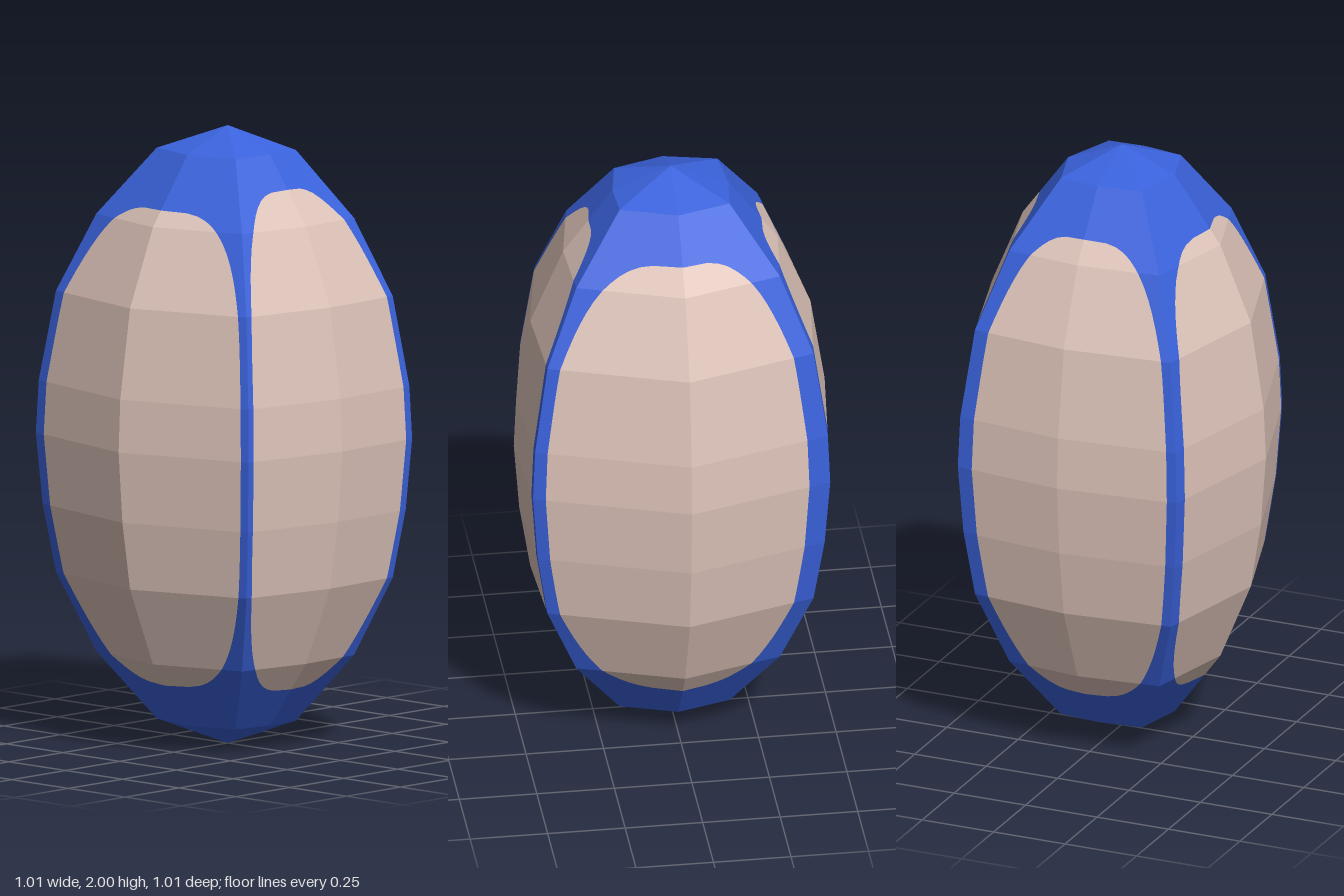
import * as THREE from 'three';

// Horizontal cross-section at mid height: side middles alternate with corners (x, z)
const SECTION = [
  [0, 0.505], [0.44, 0.365], [0.505, 0], [0.49, -0.34],
  [0, -0.505], [-0.465, -0.365], [-0.505, 0], [-0.465, 0.4],
];
// Height and scale of each ring of the faceted body
const RINGS = [
  [0, 0], [0.078, 0.37], [0.295, 0.685], [0.55, 0.895], [0.77, 0.965], [1, 1],
  [1.17, 0.985], [1.46, 0.895], [1.71, 0.685], [1.925, 0.37], [2, 0],
];
// Panels: index of the side middle, vertical extent, reach towards the next and previous corner
const PANELS = [
  { name: 'frontPanel', mid: 0, bottom: 0.22, top: 1.76, next: 0.94, prev: 0.905 },
  { name: 'leftPanel', mid: 2, bottom: 0.205, top: 1.82, next: 0.915, prev: 0.945 },
  { name: 'backPanel', mid: 4, bottom: 0.215, top: 1.79, next: 0.85, prev: 0.92 },
  { name: 'rightPanel', mid: 6, bottom: 0.21, top: 1.78, next: 0.92, prev: 0.86 },
];

function ringScale(y) {
  for (let i = 1; i < RINGS.length; i++) {
    const [y0, s0] = RINGS[i - 1], [y1, s1] = RINGS[i];
    if (y <= y1) return s0 + (s1 - s0) * (y - y0) / (y1 - y0);
  }
  return 0;
}

// Point on the body at height y, a fraction f of the way from a side middle to a corner
function bodyPoint(mid, corner, f, y) {
  const a = SECTION[mid], b = SECTION[corner], s = ringScale(y);
  return new THREE.Vector3(s * (a[0] + (b[0] - a[0]) * f), y, s * (a[1] + (b[1] - a[1]) * f));
}

// Adds a triangle facing away from the middle of the body
function addTriangle(out, a, b, c) {
  const normal = new THREE.Vector3().crossVectors(b.clone().sub(a), c.clone().sub(a));
  if (normal.length() < 1e-9) return;
  const centre = a.clone().add(b).add(c).divideScalar(3);
  centre.y -= 1;
  const order = normal.dot(centre) > 0 ? [a, b, c] : [a, c, b];
  for (const p of order) out.push(p.x, p.y, p.z);
}

// Band between heights y0 and y1, from fractions f0 to g0 below and f1 to g1 above
function addBand(out, mid, corner, y0, f0, g0, y1, f1, g1) {
  const a = bodyPoint(mid, corner, f0, y0), b = bodyPoint(mid, corner, g0, y0);
  const c = bodyPoint(mid, corner, g1, y1), d = bodyPoint(mid, corner, f1, y1);
  addTriangle(out, a, b, c);
  addTriangle(out, a, c, d);
}

// Rounded outline of a panel: how far it reaches towards the corner at height y
function panelReach(panel, reach, y) {
  const half = (panel.top - panel.bottom) / 2;
  const t = Math.abs(y - panel.bottom - half) / half;
  return t >= 1 ? 0 : reach * Math.pow(1 - Math.pow(t, 6), 0.26);
}

function makeMesh(name, positions, material) {
  const geometry = new THREE.BufferGeometry();
  geometry.setAttribute('position', new THREE.Float32BufferAttribute(positions, 3));
  geometry.computeVertexNormals(); // unshared corners keep the facets flat
  const mesh = new THREE.Mesh(geometry, material);
  mesh.name = name;
  return mesh;
}

export function createModel() {
  const group = new THREE.Group();
  group.name = 'facetedBall';
  const blue = new THREE.MeshStandardMaterial({ color: 0x3a62dc });
  blue.name = 'blue';
  const beige = new THREE.MeshStandardMaterial({ color: 0xdec4ba });
  beige.name = 'beige';

  const shell = [];
  for (const panel of PANELS) {
    const skin = [];
    // Rows: body rings plus closer steps towards the rounded panel ends
    const heights = RINGS.map((r) => r[0]);
    for (let i = 0; i <= 40; i++) {
      const t = Math.sin((i / 40 - 0.5) * Math.PI);
      heights.push((panel.top + panel.bottom) / 2 + t * (panel.top - panel.bottom) / 2);
    }
    heights.sort((a, b) => a - b);

    const sides = [[(panel.mid + 1) % 8, panel.next], [(panel.mid + 7) % 8, panel.prev]];
    for (const [corner, reach] of sides) {
      for (let i = 1; i < heights.length; i++) {
        const y0 = heights[i - 1], y1 = heights[i];
        if (y1 - y0 < 1e-6) continue;
        const f0 = panelReach(panel, reach, y0), f1 = panelReach(panel, reach, y1);
        addBand(skin, panel.mid, corner, y0, 0, f0, y1, 0, f1);
        addBand(shell, panel.mid, corner, y0, f0, 1, y1, f1, 1);
      }
    }
    group.add(makeMesh(panel.name, skin, beige));
  }
  // Frame of caps and corner strips around the panels
  group.add(makeMesh('shellFrame', shell, blue));
  return group;
}
